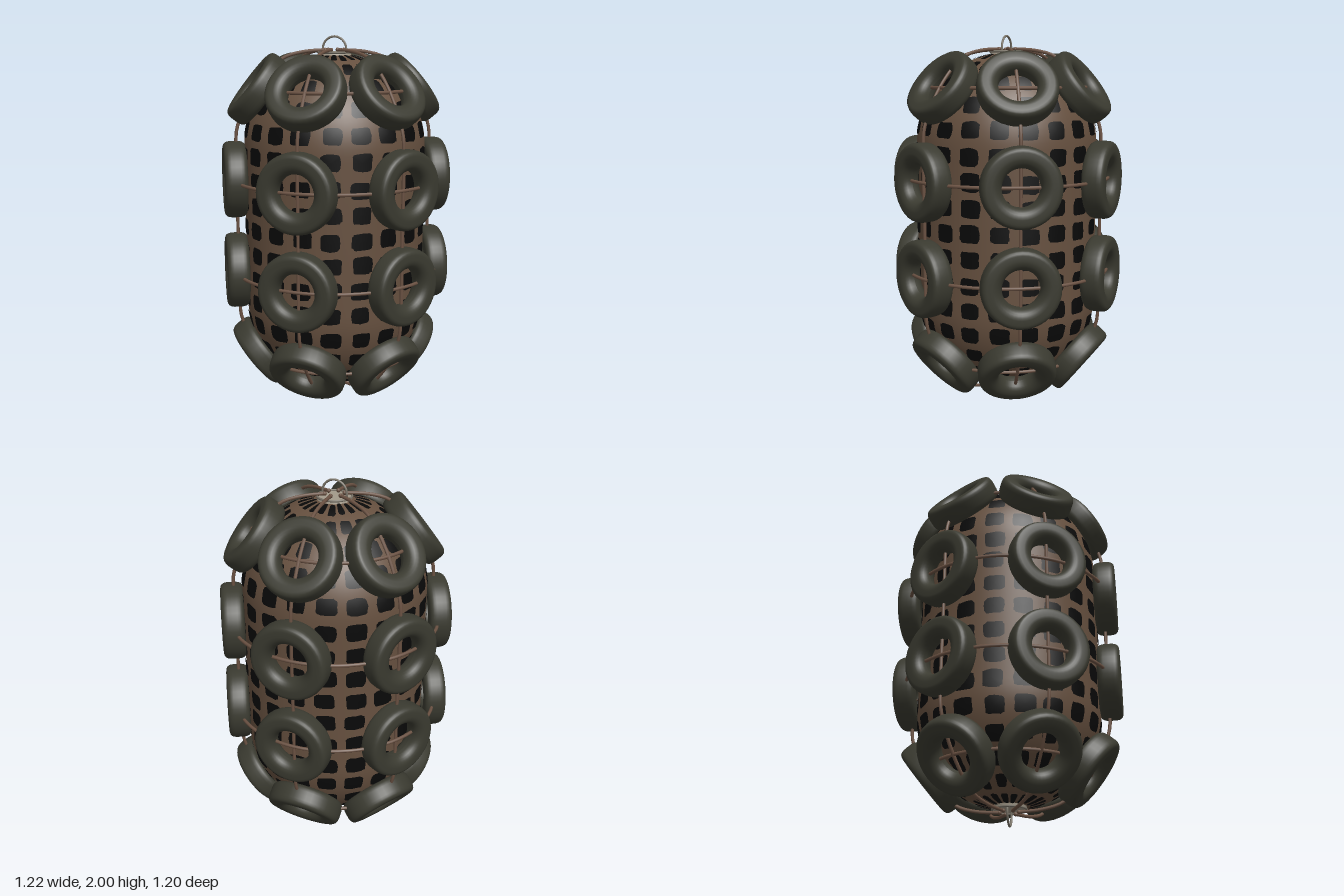
import * as THREE from 'three';
import { mergeGeometries } from 'three/addons/utils/BufferGeometryUtils.js';

const mat = (name, color, side = THREE.FrontSide) => {
  const m = new THREE.MeshStandardMaterial({ color, side });
  m.name = name;
  return m;
};

const R = 0.485;          // body radius
const HALF = 0.42;        // half length of the straight part
const COLUMNS = 6;        // tyre columns around the body

// Body profile: radius and height at signed arc length s from the middle
function profile(s, offset = 0) {
  const a = Math.max(0, Math.abs(s) - HALF) / R;
  const y = Math.min(Math.abs(s), HALF) + (R + offset) * Math.sin(a);
  return [(R + offset) * Math.cos(a), 1 + Math.sign(s) * y];
}

export function createModel() {
  const model = new THREE.Group();
  model.name = 'netFender';
  const net = mat('net brown', 0x66503f);
  const black = mat('gap black', 0x090909);
  const rubber = mat('tyre rubber', 0x3a3a30);
  const rope = mat('rope brown', 0x6a5142);
  const metal = mat('end metal', 0xa39a8a);
  const ringMetal = mat('ring metal', 0x7c766a);

  const add = (parent, name, geometry, material) => {
    const m = new THREE.Mesh(geometry, material);
    m.name = name;
    parent.add(m);
    return m;
  };

  let seed = 7;
  const rand = () => (seed = (seed * 16807) % 2147483647) / 2147483647;

  // Capsule body
  const end = HALF + R * Math.PI / 2;
  const pts = [];
  for (let i = 0; i <= 72; i++) {
    const [r, y] = profile(-end + (2 * end * i) / 72);
    pts.push(new THREE.Vector2(Math.max(r, 0), y));
  }
  add(model, 'body', new THREE.LatheGeometry(pts, 96), net);

  // Black gaps in the net: ragged rounded squares lying on the body
  const verts = [], normals = [], index = [];
  const put = (a, s) => {
    const [r, y] = profile(s, 0.004);
    const p = new THREE.Vector3(r * Math.sin(a), y, r * Math.cos(a));
    const core = new THREE.Vector3(0, THREE.MathUtils.clamp(y, 1 - HALF, 1 + HALF), 0);
    verts.push(p.x, p.y, p.z);
    normals.push(...p.clone().sub(core).normalize().toArray());
  };
  const cols = 20, rim = 20, rowStep = 0.13;
  for (let row = -8; row <= 8; row++) {
    for (let c = 0; c < cols; c++) {
      const base = verts.length / 3;
      const a0 = (c + (rand() - 0.5) * 0.1) * 2 * Math.PI / cols;
      const s0 = (row + (rand() - 0.5) * 0.1) * rowStep;
      const w = (0.61 + rand() * 0.1) * Math.PI / cols;
      const h = (0.62 + rand() * 0.1) * rowStep / 2;
      put(a0, s0);
      for (let k = 0; k < rim; k++) {
        const t = (k / rim) * 2 * Math.PI;
        const q = (v) => Math.sign(v) * Math.pow(Math.abs(v), 0.45);
        const f = 0.95 + rand() * 0.12;
        put(a0 + w * f * q(Math.cos(t)), s0 + h * f * q(Math.sin(t)));
        index.push(base, base + 1 + k, base + 1 + ((k + 1) % rim));
      }
    }
  }
  const gaps = new THREE.BufferGeometry();
  gaps.setAttribute('position', new THREE.Float32BufferAttribute(verts, 3));
  gaps.setAttribute('normal', new THREE.Float32BufferAttribute(normals, 3));
  gaps.setIndex(index);
  add(model, 'netGaps', gaps, black);

  // Tyre: rounded-square section turned round its axle
  const section = [];
  for (let i = 0; i <= 28; i++) {
    const t = Math.PI + (i / 28) * 2 * Math.PI;
    const c = Math.cos(t), s = Math.sin(t);
    const q = (v, p) => Math.sign(v) * Math.pow(Math.abs(v), p);
    section.push(new THREE.Vector2(0.15 + 0.054 * q(c, c > 0 ? 0.5 : 1), 0.06 * q(s, c > 0 ? 0.6 : 0.85)));
  }
  const tyreGeo = new THREE.LatheGeometry(section, 40);

  // Rows of tyres: height, distance from the axis, outward tilt
  const tilt = THREE.MathUtils.degToRad(38);
  const rows = [[1.725, 0.41, tilt], [1.25, 0.54, 0], [0.75, 0.54, 0], [0.275, 0.41, -tilt]];

  // Lengthwise rope running over one column of tyres
  const half = [[0.05, 1.925], [0.17, 1.915], [0.28, 1.88], [0.42, 1.735], [0.52, 1.53], [0.53, 1.4]];
  const path = [...half, [0.53, 1], ...half.map(([r, y]) => [r, 2 - y]).reverse()]
    .map(([r, y]) => new THREE.Vector3(0, y, r));
  const knots = [path[0], path[path.length - 1]].map((p) =>
    new THREE.SphereGeometry(0.011, 10, 8).translate(p.x, p.y, p.z));
  const ropeGeo = mergeGeometries([
    new THREE.TubeGeometry(new THREE.CatmullRomCurve3(path), 80, 0.009, 8), ...knots]);

  for (let i = 0; i < COLUMNS; i++) {
    const column = new THREE.Group();
    column.name = 'tyreColumn';
    column.rotation.y = (i * 2 * Math.PI) / COLUMNS;
    model.add(column);
    for (const [y, r, e] of rows) {
      const tyre = add(column, 'tyre', tyreGeo, rubber);
      tyre.position.set(0, y, r);
      tyre.rotation.x = Math.PI / 2 - e;
    }
    add(column, 'lengthRope', ropeGeo, rope);
  }

  // Belt ropes through each row of tyres
  for (const [y, r, e] of rows) {
    const belt = add(model, 'beltRope', new THREE.TorusGeometry(e ? 0.425 : 0.553, 0.009, 8, 72), rope);
    belt.rotation.x = Math.PI / 2;
    belt.position.y = y;
  }

  // End fittings: plate, rim ring and lifting ring, mirrored top and bottom
  for (const side of [1, -1]) {
    const fitting = new THREE.Group();
    fitting.name = side > 0 ? 'topFitting' : 'bottomFitting';
    fitting.position.y = 1;
    if (side < 0) fitting.rotation.x = Math.PI;
    model.add(fitting);
    add(fitting, 'endPlate', new THREE.CylinderGeometry(0.085, 0.09, 0.02, 32), metal).position.y = 0.9;
    const rimRing = add(fitting, 'rimRing', new THREE.TorusGeometry(0.088, 0.006, 8, 36), ringMetal);
    rimRing.rotation.x = Math.PI / 2;
    rimRing.position.y = 0.912;
    add(fitting, 'liftingRing', new THREE.TorusGeometry(0.066, 0.006, 8, 36), ringMetal).position.y = 0.928;
  }
  return model;
}
